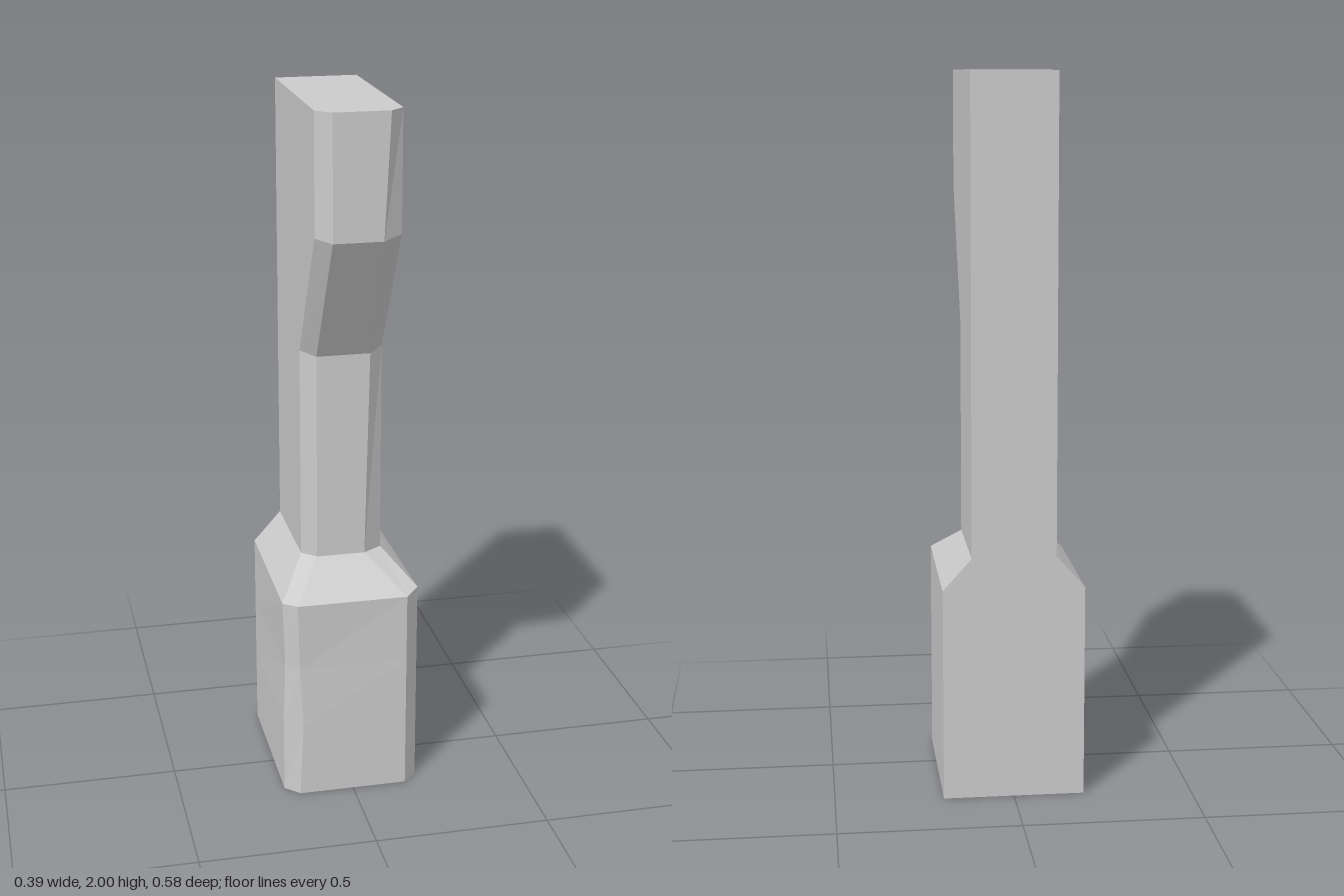
import * as THREE from 'three';

const BACK = -0.29;

// Each level: height, half width, side-edge z, front z, front-face left/right x,
// then small height shifts of the two side edges (-x, +x)
const levels = [
  { y: 0, w: 0.197, zs: 0.165, zf: 0.205, a: -0.157, b: 0.157 },
  { y: 0.22, w: 0.197, zs: 0.165, zf: 0.205, a: -0.147, b: 0.157 },
  { y: 0.4, w: 0.197, zs: 0.165, zf: 0.205, a: -0.155, b: 0.157, dent: 0.006 },
  { y: 0.6, w: 0.197, zs: 0.165, zf: 0.205, a: -0.16, b: 0.157, dl: -0.005, dr: 0.01 },
  { y: 0.69, w: 0.117, zs: 0.035, zf: 0.072, a: -0.077, b: 0.062 },
  { y: 1.29, w: 0.117, zs: 0.035, zf: 0.072, a: -0.077, b: 0.076, dl: 0.01, dr: 0.01 },
  { y: 1.66, w: 0.117, zs: 0.248, zf: 0.288, a: -0.077, b: 0.06, dl: 0.008, dr: 0.008 },
  { y: 2, w: 0.117, zs: 0.248, zf: 0.288, a: -0.077, b: 0.077 },
];

// Six-sided section: square at the back, chamfered at the front corners
function section({ y, w, zs, zf, a, b, dent = 0, dl = 0, dr = 0 }) {
  return [
    [a, y, zf - dent], [b, y, zf], [w, y + dr, zs],
    [w, y, BACK], [-w, y, BACK], [-w + dent, y + dl, zs],
  ];
}

function loft(rings) {
  const n = rings[0].length;
  const index = [];
  for (let r = 0; r < rings.length - 1; r++) {
    for (let i = 0; i < n; i++) {
      const j = (i + 1) % n;
      const p = r * n + i, q = r * n + j;
      index.push(p, q, q + n, p, q + n, p + n);
    }
  }
  // End caps
  const top = (rings.length - 1) * n;
  for (let i = 1; i < n - 1; i++) {
    index.push(0, i + 1, i, top, top + i, top + i + 1);
  }
  const geometry = new THREE.BufferGeometry();
  geometry.setAttribute('position', new THREE.Float32BufferAttribute(rings.flat(2), 3));
  geometry.setIndex(index);
  const flat = geometry.toNonIndexed();
  flat.computeVertexNormals();
  return flat;
}

export function createModel() {
  const group = new THREE.Group();
  group.name = 'pillar';
  const material = new THREE.MeshStandardMaterial({ color: 0xcccccc, flatShading: true });

  // Wide base, sloped shoulder, slim shaft and overhanging head in one skin
  const body = new THREE.Mesh(loft(levels.map(section)), material);
  body.name = 'pillarBody';
  group.add(body);
  return group;
}
